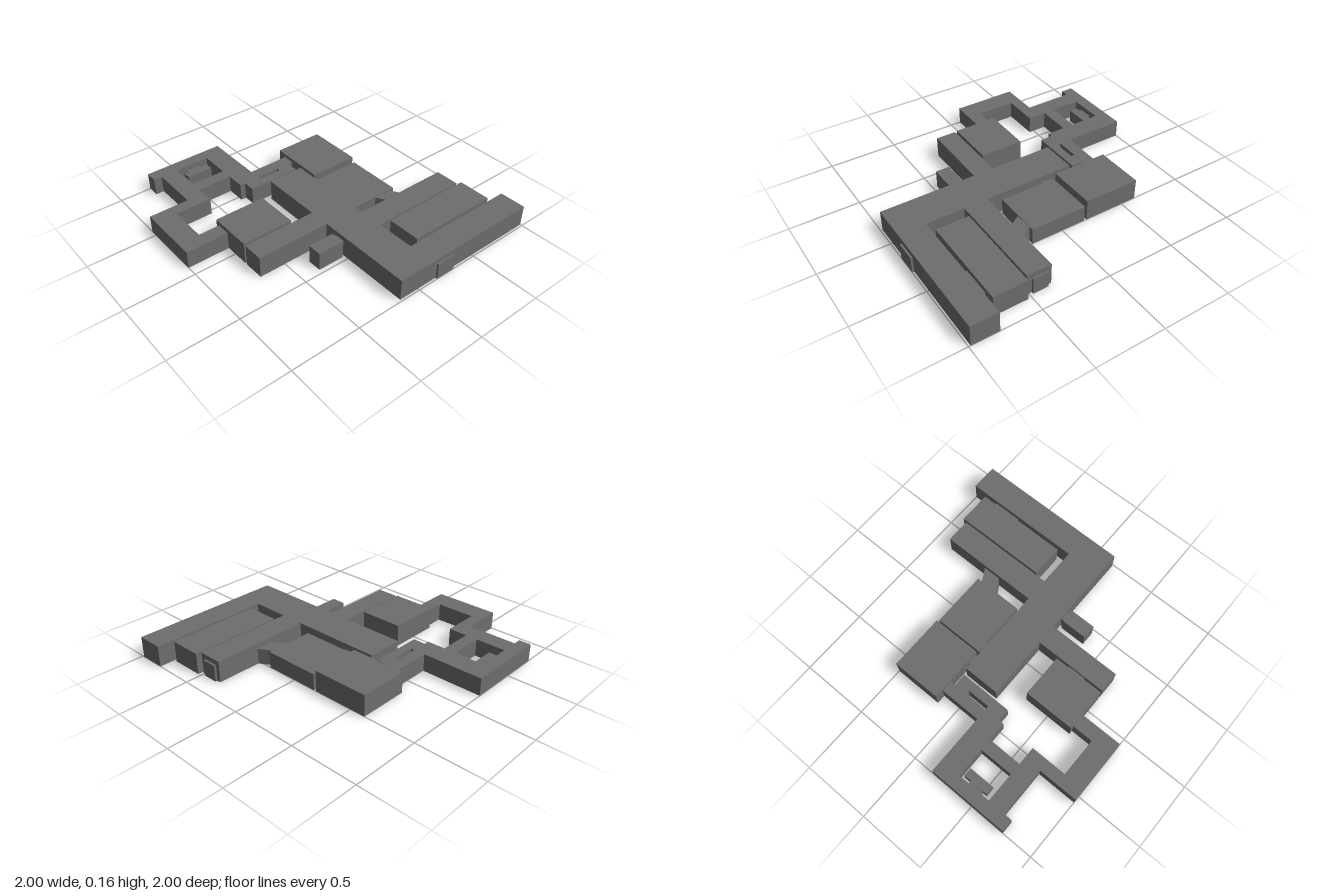
import * as THREE from 'three';

const material = new THREE.MeshStandardMaterial({ color: 0x6e6e6e, flatShading: true });

// Raises a floor-plan outline of [x, z] corners, with optional courtyards, to a height
function block(name, height, outline, courtyards = []) {
  const toPoints = (corners) => corners.map(([x, z]) => new THREE.Vector2(x, z));
  const shape = new THREE.Shape(toPoints(outline));
  for (const c of courtyards) shape.holes.push(new THREE.Path(toPoints(c)));
  const geometry = new THREE.ExtrudeGeometry(shape, { depth: height, bevelEnabled: false });
  geometry.rotateX(Math.PI / 2).translate(0, height, 0);
  const mesh = new THREE.Mesh(geometry, material);
  mesh.name = name;
  return mesh;
}

// Corners of a rectangle on the plan
const rect = (x0, x1, z0, z1) => [[x0, z0], [x1, z0], [x1, z1], [x0, z1]];

export function createModel() {
  const model = new THREE.Group();
  model.name = 'floorPlanBuilding';

  // Main hall with its north, east and south wings
  model.add(block('mainHall', 0.155, [
    [-0.335, -0.115], [0.335, -0.115], [0.335, -0.85], [0.512, -0.85], [0.512, -0.115],
    [0.792, -0.115], [0.792, -1], [0.986, -1], [0.986, 0.152], [0.282, 0.152],
    [0.282, 0.692], [0.13, 0.692], [0.13, 0.152], [-0.335, 0.152],
  ]));

  // Winding corridors on the west side, around a narrow slot and a courtyard
  model.add(block('westCorridors', 0.128, [
    [-0.55, -0.14], [-0.465, -0.14], [-0.465, -0.1], [-0.373, -0.1], [-0.373, 0.286],
    [-0.465, 0.286], [-0.465, 0.325], [-0.602, 0.325], [-0.602, 0.577], [-0.465, 0.577],
    [-0.465, 0.845], [-0.18, 0.845], [-0.18, 0.692], [-0.078, 0.692], [-0.078, 1],
    [-0.55, 1], [-0.55, 0.707], [-0.91, 0.707], [-0.91, 0.767], [-1, 0.767],
    [-1, 0.17], [-0.55, 0.17],
  ], [
    rect(-0.465, -0.437, 0, 0.17),
    rect(-0.91, -0.69, 0.325, 0.577),
  ]));

  // Rooms: name, height, x range, z range
  const rooms = [
    ['northWestRoom', 0.155, -0.615, -0.2, -0.5, -0.138],
    ['northRoom', 0.12, -0.18, 0.237, -0.5, -0.138],
    ['longRoom', 0.155, 0.525, 0.767, -0.885, -0.198],
    ['southRoom', 0.16, -0.207, 0.113, 0.315, 0.692],
    ['smallRoom', 0.133, 0.365, 0.467, 0.17, 0.363],
    ['courtyardRoom', 0.095, -0.885, -0.823, 0.345, 0.535],
  ];

  // Doorways joining the rooms to the halls
  const doorways = [
    ['northDoorway', 0.12, 0.365, 0.477, -0.866, -0.85],
    ['eastDoorway', 0.118, 0.986, 1, -0.308, -0.158],
    ['longRoomEastDoorway', 0.12, 0.767, 0.792, -0.8, -0.59],
    ['longRoomWestDoorway', 0.12, 0.512, 0.525, -0.385, -0.255],
    ['northWestRoomDoorway', 0.12, -0.29, -0.215, -0.138, -0.115],
    ['northRoomDoorway', 0.11, -0.175, -0.1, -0.138, -0.115],
    ['smallRoomDoorway', 0.12, 0.377, 0.452, 0.152, 0.17],
    ['southRoomDoorway', 0.13, 0.113, 0.13, 0.41, 0.545],
    ['courtyardRoomDoorway', 0.09, -0.91, -0.885, 0.4, 0.5],
  ];
  for (const [name, height, ...range] of [...rooms, ...doorways]) {
    model.add(block(name, height, rect(...range)));
  }

  // Slanted passage from the north room to the north wing
  model.add(block('slantedPassage', 0.115, [
    [0.237, -0.465], [0.335, -0.52], [0.335, -0.39], [0.237, -0.33],
  ]));

  return model;
}
